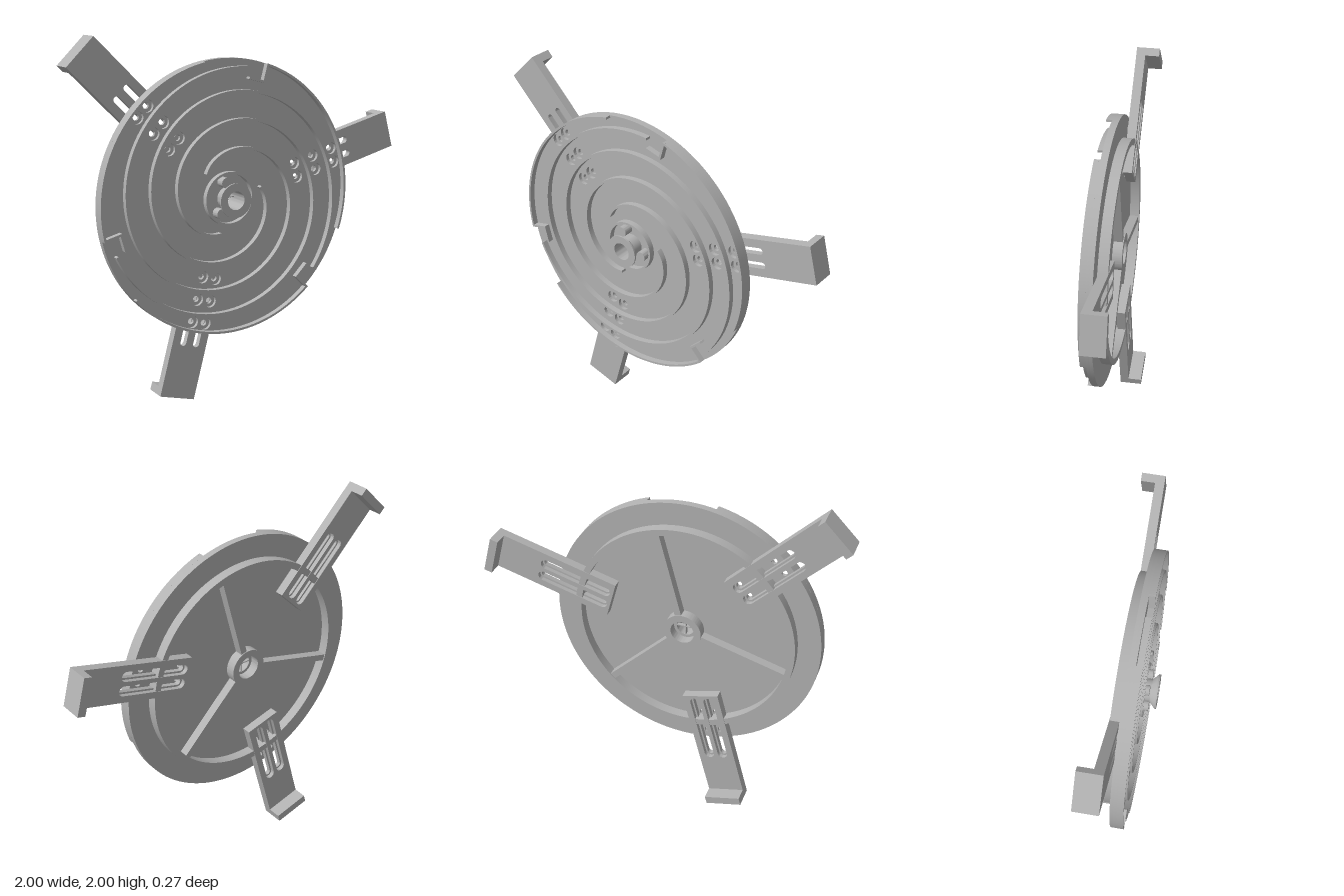
import * as THREE from 'three';
import { toCreasedNormals } from 'three/addons/utils/BufferGeometryUtils.js';

const RAD = Math.PI / 180;
const grey = new THREE.MeshStandardMaterial({ color: 0xb2b2b2 });
grey.name = 'grey plastic';

// polar point in the plane of the disc, angle in degrees
const polar = (r, deg) => new THREE.Vector2(r * Math.cos(deg * RAD), r * Math.sin(deg * RAD));

function circle(r, x = 0, y = 0, Type = THREE.Path) {
  return new Type().absarc(x, y, r, 0, Math.PI * 2, false);
}

// rounded slot running along x
function slot(x0, x1, y, r) {
  const p = new THREE.Path();
  p.absarc(x0, y, r, Math.PI / 2, Math.PI * 1.5, false);
  p.absarc(x1, y, r, -Math.PI / 2, Math.PI / 2, false);
  p.closePath();
  return p;
}

function rectangle(x0, x1, h) {
  return new THREE.Shape([[x0, -h], [x1, -h], [x1, h], [x0, h]].map(([x, y]) => new THREE.Vector2(x, y)));
}

function plate(name, shape, z0, z1, segments = 32) {
  const g = new THREE.ExtrudeGeometry(shape, { depth: z1 - z0, bevelEnabled: false, curveSegments: segments });
  g.translate(0, 0, z0);
  const m = new THREE.Mesh(toCreasedNormals(g, 0.6), grey);
  m.name = name;
  return m;
}

function ring(name, outer, inner, z0, z1) {
  const s = circle(outer, 0, 0, THREE.Shape);
  s.holes.push(circle(inner));
  return plate(name, s, z0, z1, 96);
}

// upright wall of even thickness following a path
function wall(name, pts, width, z0, z1) {
  const left = [], right = [];
  pts.forEach((p, i) => {
    const a = pts[Math.max(i - 1, 0)], b = pts[Math.min(i + 1, pts.length - 1)];
    const d = b.clone().sub(a).normalize();
    const n = new THREE.Vector2(-d.y, d.x).multiplyScalar(width / 2);
    left.push(p.clone().add(n));
    right.push(p.clone().sub(n));
  });
  return plate(name, new THREE.Shape([...right, ...left.reverse()]), z0, z1);
}

const arc = (r, a0, a1, n) => Array.from({ length: n + 1 }, (_, i) => polar(r, a0 + (a1 - a0) * i / n));

export function createModel() {
  const model = new THREE.Group();
  model.name = 'spiralWheel';
  const wheel = new THREE.Group();
  wheel.name = 'wheel';
  wheel.position.set(-0.125, 1.122, 0);
  model.add(wheel);

  const FLOOR = 0.037, TOP = 0.07, R = 0.745;
  const armAngles = [15, 135, 255];

  // base disc in two layers, so the screw holes are counterbored
  const disc = (name, holeRadius, z0, z1) => {
    const s = circle(R, 0, 0, THREE.Shape);
    s.holes.push(circle(0.052));
    for (const a of armAngles) {
      for (const r of [0.445, 0.57, 0.695]) {
        for (const side of [-0.04, 0.04]) {
          const p = new THREE.Vector2(r, side).rotateAround(new THREE.Vector2(), a * RAD);
          s.holes.push(circle(holeRadius, p.x, p.y));
        }
      }
    }
    return plate(name, s, z0, z1, 64);
  };
  wheel.add(disc('discBack', 0.017, 0, 0.018), disc('discFront', 0.034, 0.018, FLOOR));

  // spiral radius against turns
  const profile = [[0, 0.196], [0.04, 0.22], [0.372, 0.375], [0.705, 0.53], [0.789, 0.568], [1.04, 0.66], [1.15, 0.703]];
  const spiralRadius = (t) => {
    let i = 1;
    while (i < profile.length - 1 && t > profile[i][0]) i++;
    const [t0, r0] = profile[i - 1], [t1, r1] = profile[i];
    return r0 + (r1 - r0) * (t - t0) / (t1 - t0);
  };

  for (let k = 0; k < 3; k++) {
    const turn = 120 * k;
    // spiral wall winding outwards
    const spiral = [];
    for (let i = 0; i <= 140; i++) {
      const t = 1.15 * i / 140;
      spiral.push(polar(spiralRadius(t), 134 + turn - 360 * t));
    }
    wheel.add(wall('spiralWall', spiral, 0.013, FLOOR - 0.002, TOP));

    // rim lip, open between sections, with a hooked scoop at each opening
    wheel.add(wall('rimLip', arc(R - 0.006, 101 + turn, 192 + turn, 48), 0.012, FLOOR - 0.002, TOP));
    wheel.add(wall('scoopSide', [polar(R, 71.7 + turn), polar(0.642, 71.2 + turn)], 0.012, FLOOR - 0.002, TOP));
    wheel.add(wall('scoopLip', [polar(0.648, 71 + turn), polar(0.648, 79.5 + turn)], 0.012, FLOOR - 0.002, TOP));

    // rib on the back
    const rib = plate('backRib', rectangle(0.095, 0.595, 0.018), -0.05, 0.001);
    rib.rotation.z = (75 + turn) * RAD;
    wheel.add(rib);

    // lug around the knob
    const p = polar(0.097, 110 + turn);
    wheel.add(plate('knobLug', circle(0.028, p.x, p.y, THREE.Shape), FLOOR - 0.002, 0.09, 24));
  }

  // raised rings on the back and around the knob
  wheel.add(ring('backRing', 0.62, 0.585, -0.055, 0.001));
  wheel.add(ring('backHub', 0.105, 0.066, -0.055, 0.001));
  wheel.add(ring('knobRing', 0.146, 0.134, FLOOR - 0.002, TOP));

  // hollow flared knob
  const knobProfile = [[0.05, 0], [0.062, 0], [0.062, 0.095], [0.093, 0.124], [0.093, 0.133], [0.05, 0.133], [0.05, 0]]
    .map(([x, y]) => new THREE.Vector2(x, y));
  const knobGeometry = toCreasedNormals(new THREE.LatheGeometry(knobProfile, 48), 0.6);
  knobGeometry.rotateX(Math.PI / 2);
  const knob = new THREE.Mesh(knobGeometry, grey);
  knob.name = 'knob';
  wheel.add(knob);

  // thin cross in the bore
  for (const [w, h] of [[0.104, 0.005], [0.005, 0.104]]) {
    const bar = new THREE.Mesh(new THREE.BoxGeometry(w, h, 0.02), grey);
    bar.name = 'boreCross';
    bar.position.z = 0.012;
    wheel.add(bar);
  }

  // slotted arms with hooked ends
  for (const a of armAngles) {
    const arm = new THREE.Group();
    arm.name = 'arm';
    arm.rotation.z = a * RAD;
    const layer = (name, r, z0, z1) => {
      const s = rectangle(0.42, 1.133, 0.105);
      for (const side of [-0.04, 0.04]) s.holes.push(slot(0.465, 0.823, side, r));
      return plate(name, s, z0, z1, 12);
    };
    arm.add(layer('armFront', 0.018, -0.034, -0.008));
    arm.add(layer('armBack', 0.028, -0.058, -0.034));
    arm.add(plate('armHook', rectangle(1.088, 1.133, 0.105), -0.135, -0.058));
    wheel.add(arm);
  }
  return model;
}
